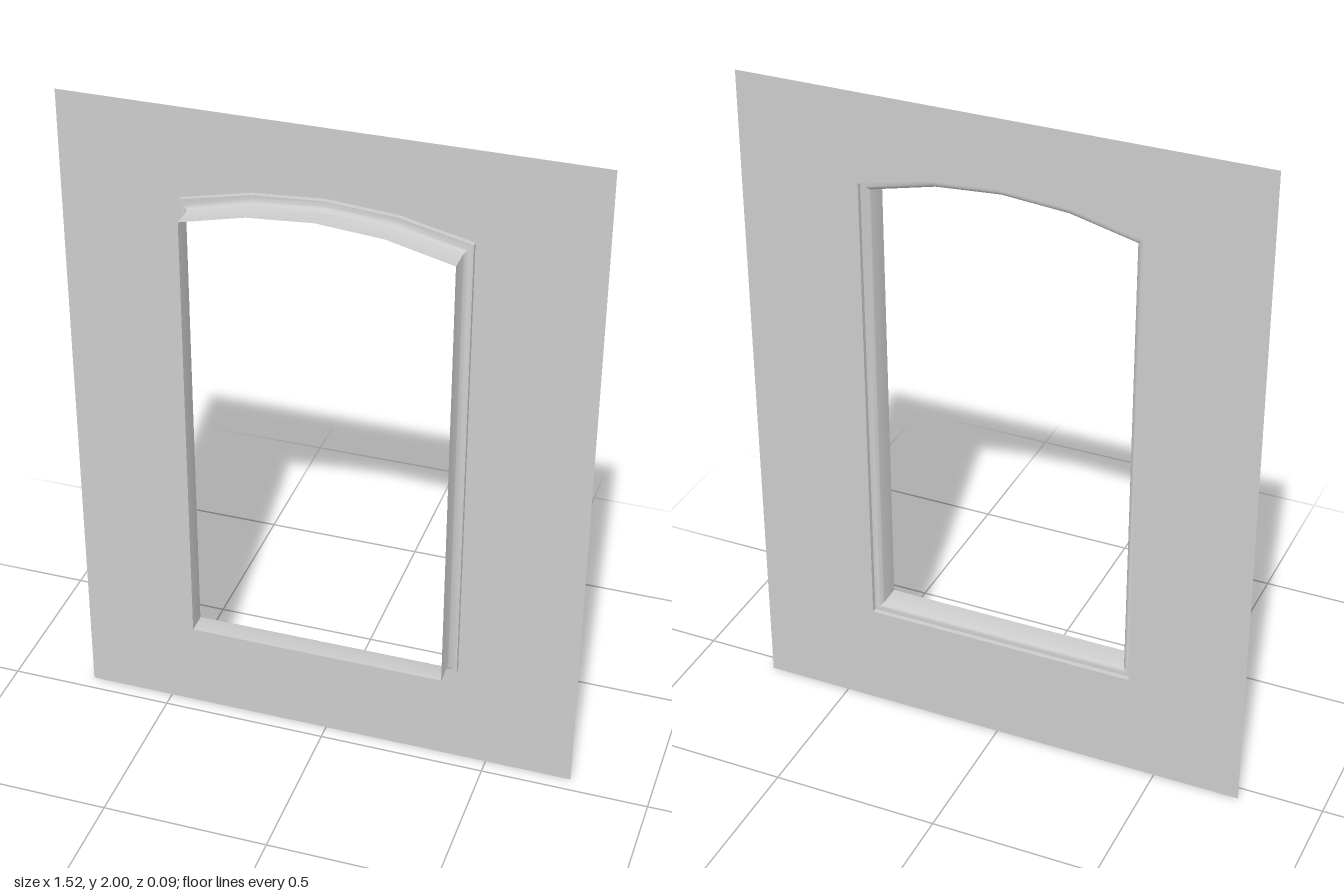
import * as THREE from 'three';
import { toCreasedNormals } from 'three/addons/utils/BufferGeometryUtils.js';

const BACK = -0.046, FRONT = 0.046, CENTRE = -0.003;
const HALF = 0.408, SILL = 0.322;
// Arch heights at evenly spaced points from right to left
const ARCH = [1.735, 1.781, 1.796, 1.781, 1.735];

// Outline of the opening, drawn in by a distance d (counter-clockwise)
function opening(d) {
  const h = HALF - d;
  const pts = [[-h, SILL + d], [h, SILL + d]];
  ARCH.forEach((y, i) => pts.push([h * (1 - i / 2), y - d]));
  return pts.map(([x, y]) => new THREE.Vector2(x + CENTRE, y));
}

// Moulding section as [inset, z]: flat rim, small ledge, hollow cove, deep reveal
function section() {
  const pts = [[0, BACK], [0, -0.031]];
  const r = 0.019, inset = 0.026, steps = 5;
  for (let i = 0; i <= steps; i++) {
    const a = (i / steps) * Math.PI / 2;
    pts.push([inset - r + r * Math.sin(a), -0.031 + r * (1 - Math.cos(a))]);
  }
  pts.push([inset, FRONT]);
  return pts;
}

// Skin the section round the opening
function mouldingGeometry() {
  const rings = section().map(([d, z]) => opening(d).map(p => [p.x, p.y, z]));
  const n = rings[0].length, pos = [], index = [];
  rings.forEach(r => r.forEach(p => pos.push(...p)));
  for (let j = 0; j < rings.length - 1; j++) {
    for (let i = 0; i < n; i++) {
      const a = j * n + i, b = j * n + (i + 1) % n;
      index.push(a, b + n, b, a, a + n, b + n);
    }
  }
  const g = new THREE.BufferGeometry();
  g.setAttribute('position', new THREE.Float32BufferAttribute(pos, 3));
  g.setIndex(index);
  return toCreasedNormals(g, Math.PI / 5);
}

export function createModel() {
  const group = new THREE.Group();
  group.name = 'archedWindowWall';
  const material = new THREE.MeshStandardMaterial({ color: 0xcccccc, side: THREE.DoubleSide });

  // Flat wall sheet with the arched opening
  const shape = new THREE.Shape([[-0.76, 0], [0.76, 0], [0.76, 2], [-0.76, 2]].map(p => new THREE.Vector2(...p)));
  shape.holes.push(new THREE.Path(opening(0).reverse()));
  const wall = new THREE.Mesh(new THREE.ShapeGeometry(shape), material);
  wall.position.z = BACK;
  wall.name = 'wallPanel';
  group.add(wall);

  // Thin moulded lining standing forward of the wall
  const lining = new THREE.Mesh(mouldingGeometry(), material);
  lining.name = 'openingMoulding';
  group.add(lining);

  return group;
}
